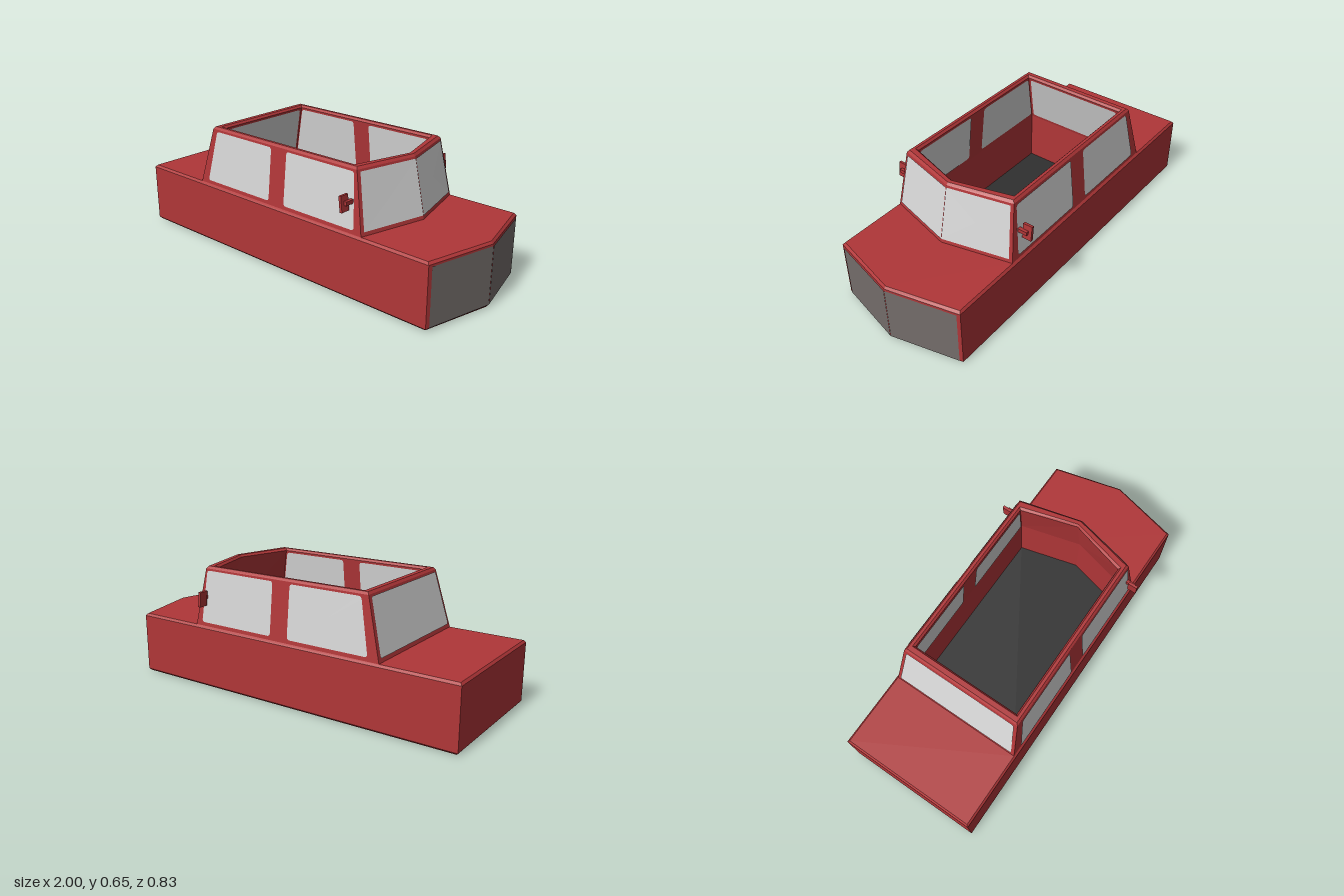
import * as THREE from 'three';

const red = new THREE.MeshStandardMaterial({ color: 0xb03638 });
red.name = 'body red';
const glass = new THREE.MeshStandardMaterial({ color: 0xd6d6d6, side: THREE.DoubleSide });
glass.name = 'window grey';
const grille = new THREE.MeshStandardMaterial({ color: 0x746d6a, side: THREE.DoubleSide });
grille.name = 'nose grey';
const dark = new THREE.MeshStandardMaterial({ color: 0x303030 });
dark.name = 'floor charcoal';

// Each ring: [y, rear x, front corner x, front centre x, half width]
const bodyLow = [0.012, -1, 0.91, 1, 0.372];
const bodyHigh = [0.323, -1, 0.91, 1, 0.372];
const outLow = [0.335, -0.59, 0.53, 0.62, 0.362];
const outHigh = [0.638, -0.51, 0.475, 0.555, 0.33];
const inHigh = [0.638, -0.465, 0.43, 0.515, 0.295];
const inLow = [0.335, -0.545, 0.49, 0.575, 0.328];
const floorRing = [0.06, -0.545, 0.49, 0.575, 0.328];
const rings = [
  [0, -0.99, 0.90, 0.99, 0.36],
  bodyLow, bodyHigh,
  [0.335, -0.99, 0.90, 0.99, 0.362],
  outLow, outHigh,
  [0.65, -0.5, 0.465, 0.545, 0.32],
  [0.65, -0.475, 0.44, 0.525, 0.305],
  inHigh, inLow, floorRing,
];

const ringPoints = ([y, xr, xs, xc, w]) =>
  [[xr, w], [xs, w], [xc, 0], [xs, -w], [xr, -w]].map(([x, z]) => new THREE.Vector3(x, y, z));

// Ring at height y on the wall between two rings
const ringAt = (a, b, y) => a.map((v, i) => v + (b[i] - v) * (y - a[0]) / (b[0] - a[0]));

function flatGeometry(points) {
  const g = new THREE.BufferGeometry().setFromPoints(points);
  g.computeVertexNormals();
  return g;
}

function capGeometry(ring, up) {
  const p = ringPoints(ring), out = [];
  for (let i = 1; i < 4; i++) out.push(p[0], p[up ? i : i + 1], p[up ? i + 1 : i]);
  return flatGeometry(out);
}

function shellGeometry() {
  const out = [];
  for (let k = 0; k < rings.length - 1; k++) {
    const lo = ringPoints(rings[k]), hi = ringPoints(rings[k + 1]);
    for (let i = 0; i < 5; i++) {
      const j = (i + 1) % 5;
      out.push(lo[i], lo[j], hi[j], lo[i], hi[j], hi[i]);
    }
  }
  return flatGeometry(out);
}

// Thin pane over four corners (anticlockwise from its visible side), optionally rounded
function paneGeometry([a, b, c, d], radius = 0) {
  const normal = b.clone().sub(a).cross(d.clone().sub(a)).normalize().multiplyScalar(0.004);
  const at = (u, v) => a.clone().lerp(b, u).lerp(d.clone().lerp(c, u), v).add(normal);
  const ru = radius / a.distanceTo(b), rv = radius / a.distanceTo(d);
  const edge = [];
  [[1, 0], [1, 1], [0, 1], [0, 0]].forEach(([u, v], k) => {
    const cu = u ? 1 - ru : ru, cv = v ? 1 - rv : rv;
    for (let s = 0; s <= 4; s++) {
      const t = (k - 1 + s / 4) * Math.PI / 2;
      edge.push(at(cu + ru * Math.cos(t), cv + rv * Math.sin(t)));
    }
  });
  const out = [], mid = at(0.5, 0.5);
  edge.forEach((p, i) => {
    const q = edge[(i + 1) % edge.length];
    if (p.distanceTo(q) > 1e-6) out.push(mid, p, q);
  });
  return flatGeometry(out);
}

export function createModel() {
  const car = new THREE.Group();
  car.name = 'car';
  const add = (name, geometry, material, parent = car) => {
    const m = new THREE.Mesh(geometry, material);
    m.name = name;
    parent.add(m);
    return m;
  };

  // Body, cabin walls and open roof rim
  add('bodyShell', shellGeometry(), red);
  add('underside', capGeometry(rings[0], false), red);
  add('cabinFloor', capGeometry(floorRing, true), dark);

  const walls = [[outLow, outHigh, 1, 'Outer'], [inLow, inHigh, -1, 'Inner']];
  const y0 = 0.355, y1 = 0.628;
  for (const side of [1, -1]) {
    const label = side > 0 ? 'near' : 'far';

    // Side windows: bottom rear, bottom front, top front, top rear x
    const sideWindows = { RearWindow: [-0.53, -0.07, -0.07, -0.475], FrontWindow: [0.035, 0.487, 0.463, 0.035] };
    for (const [lo, hi, face, suffix] of walls) {
      for (const [name, xs] of Object.entries(sideWindows)) {
        const pts = xs.map((x, i) => {
          const y = i < 2 ? y0 : y1, r = ringAt(lo, hi, y);
          const limited = THREE.MathUtils.clamp(x, r[1] + 0.01, r[2] - 0.01);
          return new THREE.Vector3(limited, y, side * r[4]);
        });
        if (side * face < 0) pts.reverse();
        add(label + name + suffix, paneGeometry(pts, 0.015), glass);
      }
    }

    // Half of a pointed front panel, from side edge to centre line
    const frontPanel = (lo, hi, ya, yb, inset) => {
      const point = (y, t) => {
        const [, , xs, xc, w] = ringAt(lo, hi, y);
        return new THREE.Vector3(xs + (xc - xs) * t, y, side * w * (1 - t));
      };
      const pts = [point(ya, inset), point(ya, 1), point(yb, 1), point(yb, inset)];
      return paneGeometry(side > 0 ? pts : pts.reverse());
    };
    add(label + 'Windscreen', frontPanel(outLow, outHigh, y0, y1, 0.045), glass);
    add(label + 'NosePanel', frontPanel(bodyLow, bodyHigh, 0.016, 0.315, 0.045), grille);

    // Door mirror
    const mirror = new THREE.Group();
    mirror.name = label + 'DoorMirror';
    add('mirrorStem', new THREE.BoxGeometry(0.018, 0.02, 0.06), red, mirror).position.set(0.463, 0.492, side * 0.368);
    const head = new THREE.Group();
    head.name = 'mirrorHead';
    head.position.set(0.451, 0.49, side * 0.391);
    head.rotation.z = 0.1;
    add('mirrorHousing', new THREE.BoxGeometry(0.014, 0.08, 0.05), red, head);
    mirror.add(head);
    car.add(mirror);
  }

  // Rear window, outside and inside
  for (const [lo, hi, face, suffix] of walls) {
    const pts = [[y0, -1], [y0, 1], [y1, 1], [y1, -1]].map(([y, s]) => {
      const r = ringAt(lo, hi, y);
      return new THREE.Vector3(r[1], y, s * (r[4] - 0.017));
    });
    add('rearWindow' + suffix, paneGeometry(face > 0 ? pts : pts.reverse(), 0.012), glass);
  }
  return car;
}
